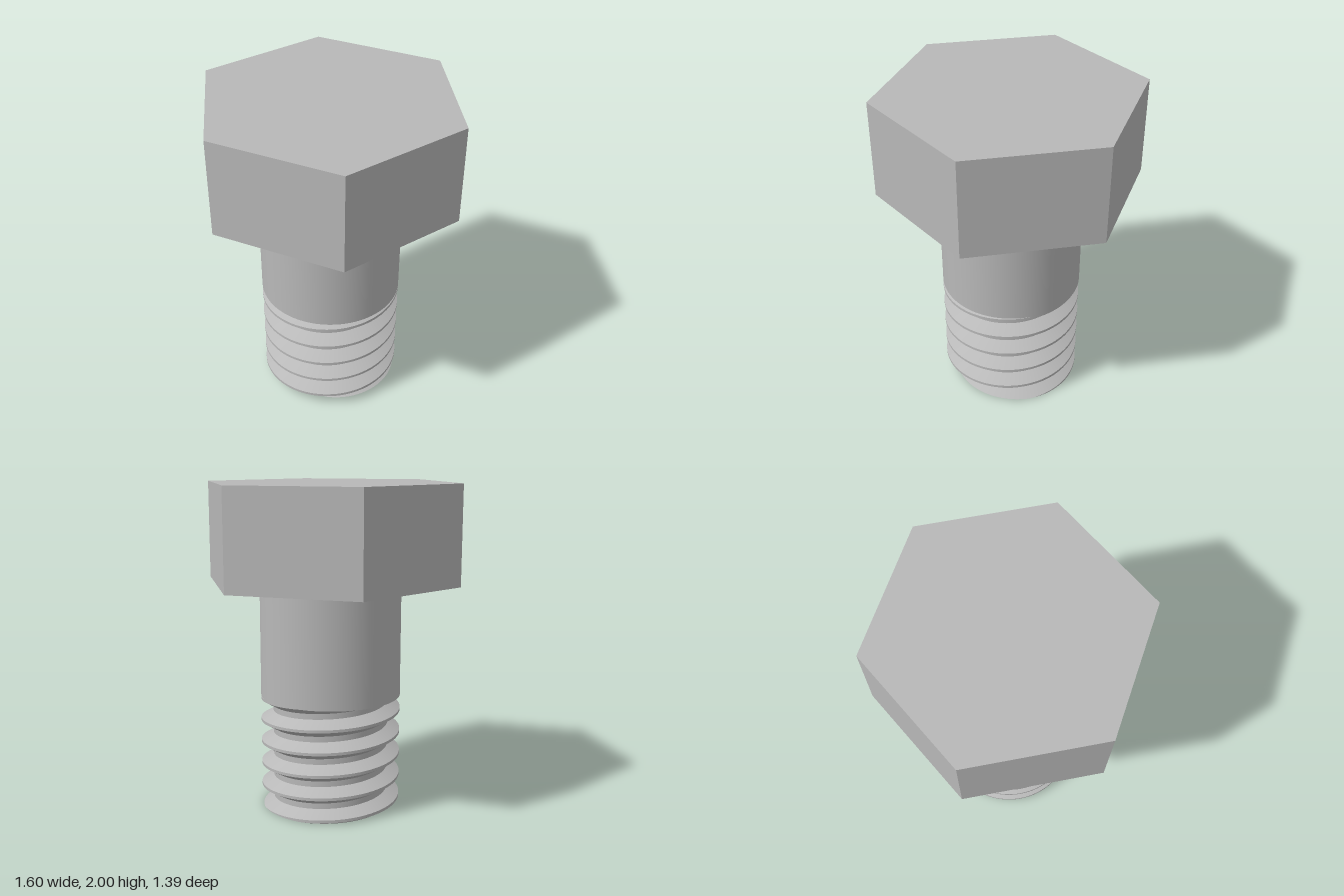
import * as THREE from 'three';

const PITCH = 0.14, CREST = 0.433, ROOT = 0.357, THREAD_TOP = 0.7;
const SEGMENTS = 96;

// Radius of the right-handed thread at angle a and height y
function threadRadius(a, y) {
  const u = y / PITCH - a / (2 * Math.PI);
  const d = Math.abs(u - Math.round(u)); // distance from the crest, in pitches
  const t = THREE.MathUtils.clamp((d - 1 / 16) / (3 / 8 - 1 / 16), 0, 1);
  return THREE.MathUtils.lerp(CREST, ROOT, t);
}

const pointAt = (a, y) => {
  const r = threadRadius(a, y);
  return [r * Math.cos(a), y, -r * Math.sin(a)];
};

function buildGeometry(positions, index) {
  const g = new THREE.BufferGeometry();
  g.setAttribute('position', new THREE.Float32BufferAttribute(positions, 3));
  g.setIndex(index);
  g.computeVertexNormals();
  return g;
}

// One helical band between two offsets (in pitches), clipped to the thread length
function helixBand(from, to) {
  const positions = [], index = [];
  const turns = THREAD_TOP / PITCH + 2;
  const count = Math.round(turns * SEGMENTS);
  const clip = y => THREE.MathUtils.clamp(y, 0, THREAD_TOP);
  for (let i = 0; i <= count; i++) {
    const turn = i / SEGMENTS - 1;
    const a = turn * 2 * Math.PI;
    const low = clip((turn + from) * PITCH), high = clip((turn + to) * PITCH);
    positions.push(...pointAt(a, low), ...pointAt(a, high));
    if (i < count && (low < THREAD_TOP && high > 0 || i % SEGMENTS === 0 && high > low)) {
      const k = 2 * i;
      index.push(k, k + 2, k + 3, k, k + 3, k + 1);
    }
  }
  return buildGeometry(positions, index);
}

// Flat end following the thread section at y = 0
function endCap() {
  const positions = [0, 0, 0], index = [];
  for (let i = 0; i <= SEGMENTS; i++) {
    positions.push(...pointAt(i / SEGMENTS * 2 * Math.PI, 0));
    if (i < SEGMENTS) index.push(0, i + 2, i + 1);
  }
  return buildGeometry(positions, index);
}

export function createModel() {
  const model = new THREE.Group();
  model.name = 'hexBolt';
  const steel = new THREE.MeshStandardMaterial({ color: 0xb8b8b8 });
  steel.name = 'steel grey';
  const add = (parent, name, geometry) => {
    const mesh = new THREE.Mesh(geometry, steel);
    mesh.name = name;
    parent.add(mesh);
    return mesh;
  };

  // Hexagonal head with corners on the x axis
  const headGeometry = new THREE.CylinderGeometry(0.8, 0.8, 0.6, 6, 1, false, Math.PI / 6).toNonIndexed();
  headGeometry.computeVertexNormals();
  add(model, 'head', headGeometry).position.y = 1.7;

  // Plain shank
  add(model, 'shank', new THREE.CylinderGeometry(CREST, CREST, 0.7, SEGMENTS)).position.y = 1.05;

  // Thread: crest flat, upper flank, root flat, lower flank
  const thread = new THREE.Group();
  thread.name = 'thread';
  model.add(thread);
  const bands = { threadCrest: [-1 / 16, 1 / 16], threadUpperFlank: [1 / 16, 3 / 8],
    threadRoot: [3 / 8, 5 / 8], threadLowerFlank: [5 / 8, 15 / 16] };
  for (const [name, [from, to]] of Object.entries(bands)) add(thread, name, helixBand(from, to));
  add(thread, 'threadEnd', endCap());

  return model;
}
